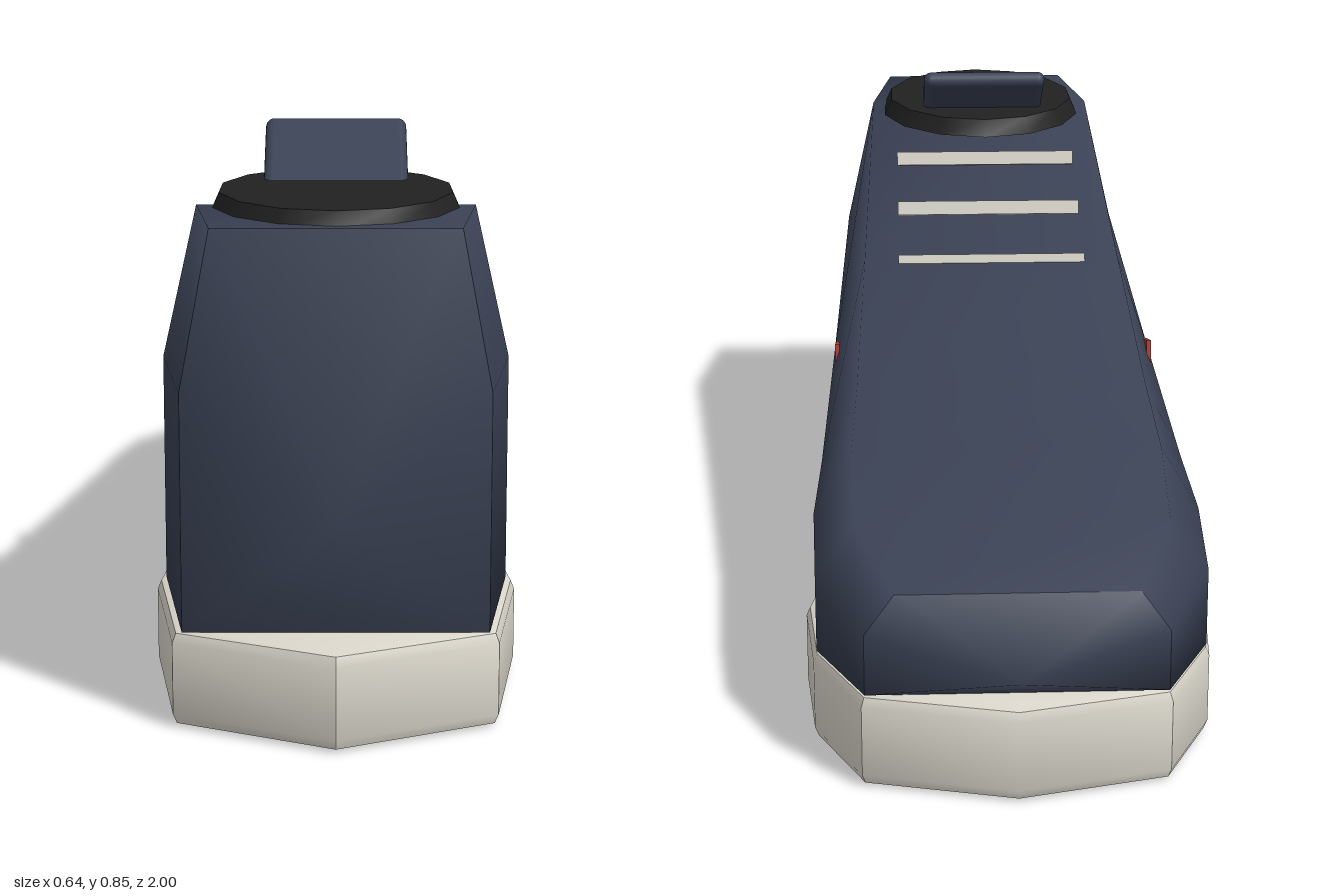
import * as THREE from 'three';
import { toCreasedNormals } from 'three/addons/utils/BufferGeometryUtils.js';
import { RoundedBoxGeometry } from 'three/addons/geometries/RoundedBoxGeometry.js';

const material = (name, color, side = THREE.FrontSide) => {
  const m = new THREE.MeshStandardMaterial({ color, side });
  m.name = name;
  return m;
};

const indexed = (points, faces) => {
  const g = new THREE.BufferGeometry();
  g.setAttribute('position', new THREE.Float32BufferAttribute(points.flat(), 3));
  g.setIndex(faces.flat());
  g.computeVertexNormals();
  return g;
};

// Upper cross-section: upright walls, then tapering in to a flat top
const section = ([z, w, top]) => {
  const bottom = 0.15, mid = bottom + 0.6 * (top - bottom);
  return [[w, bottom, z], [w, mid, z], [0.8 * w, top, z],
    [-0.8 * w, top, z], [-w, mid, z], [-w, bottom, z]];
};

const loft = (rings) => {
  const n = rings[0].length, faces = [];
  for (let i = 0; i < rings.length - 1; i++) {
    for (let j = 0; j < n; j++) {
      const k = (j + 1) % n, a = i * n + j, b = i * n + k;
      faces.push([a, a + n, b], [b, a + n, b + n]);
    }
  }
  return indexed(rings.flat(), faces);
};

// Fan from a ring to a point
const cap = (ring, apex, flip) => {
  const n = ring.length;
  const faces = ring.map((_, j) => {
    const k = (j + 1) % n;
    return flip ? [n, k, j] : [n, j, k];
  });
  return indexed([...ring, apex], faces);
};

export function createModel() {
  const model = new THREE.Group();
  model.name = 'shoe';
  const navy = material('navy', 0x3a4154);
  const cream = material('cream', 0xd9d5ca);
  const black = material('black', 0x212121);
  const red = material('red', 0xa83a33);

  const add = (name, geometry, mat, x = 0, y = 0, z = 0) => {
    const mesh = new THREE.Mesh(geometry, mat);
    mesh.name = name;
    mesh.position.set(x, y, z);
    model.add(mesh);
    return mesh;
  };

  // Sole: bevelled slab, narrow at the arch
  const half = [[0.24, 0.87], [0.282, 0.6], [0.262, 0.36], [0.215, -0.04],
    [0.285, -0.36], [0.322, -0.57], [0.305, -0.75], [0.23, -0.91]];
  const outline = [[0, 0.98], ...half, [0, -0.97],
    ...half.map(([x, z]) => [-x, z]).reverse()];
  const soleShape = new THREE.Shape(outline.map(([x, z]) => new THREE.Vector2(x, -z)));
  const sole = new THREE.ExtrudeGeometry(soleShape, {
    depth: 0.11, bevelThickness: 0.02, bevelSize: 0.02, bevelOffset: -0.02, bevelSegments: 2,
  });
  sole.rotateX(-Math.PI / 2);
  add('sole', toCreasedNormals(sole, 0.75), cream, 0, 0.02, 0);

  // Upper: stations of z, half width, top height from heel to toe
  const rings = [[0.88, 0.225, 0.745], [0.6, 0.268, 0.742], [0, 0.285, 0.569],
    [-0.4, 0.298, 0.455], [-0.57, 0.307, 0.407], [-0.75, 0.3, 0.355],
    [-0.91, 0.225, 0.308]].map(section);
  add('upper', loft(rings), navy);
  add('heelCap', cap(rings[0], [0, 0.34, 1], false), navy);
  add('toeCap', cap(rings[rings.length - 1], [0, 0.205, -1], true), navy);

  // Collar: flat oval with a sloping rim
  const collar = new THREE.CylinderGeometry(0.93, 1, 0.03, 14);
  collar.scale(0.196, 1, 0.295);
  add('collar', toCreasedNormals(collar, 0.6), black, 0, 0.75, 0.57);

  // Tongue leaning up toward the toe
  const tongue = add('tongue', new RoundedBoxGeometry(0.23, 0.03, 0.225, 3, 0.014),
    navy, 0, 0.784, 0.416);
  tongue.rotation.x = 0.54;

  // Laces
  for (const [z, y] of [[0, 0.565], [0.15, 0.628], [0.305, 0.688]]) {
    const lace = add('lace', new THREE.BoxGeometry(0.335, 0.025, 0.025), cream, 0, y, z);
    lace.rotation.x = 0.27;
  }

  // Side stripes: upright plates that the upper partly covers
  const stripe = new THREE.Shape([[-0.37, 0.24], [-0.13, 0.3], [0.095, 0.388],
    [0.085, 0.438], [-0.13, 0.385], [-0.37, 0.325]].map(([a, b]) => new THREE.Vector2(a, b)));
  const plate = new THREE.ExtrudeGeometry(stripe, { depth: 0.008, bevelEnabled: false });
  plate.translate(0, 0, -0.004);
  plate.rotateY(Math.PI / 2);
  for (const side of [1, -1]) {
    add(side > 0 ? 'leftStripe' : 'rightStripe', plate, red, side * 0.2778, 0, 0);
  }

  return model;
}
